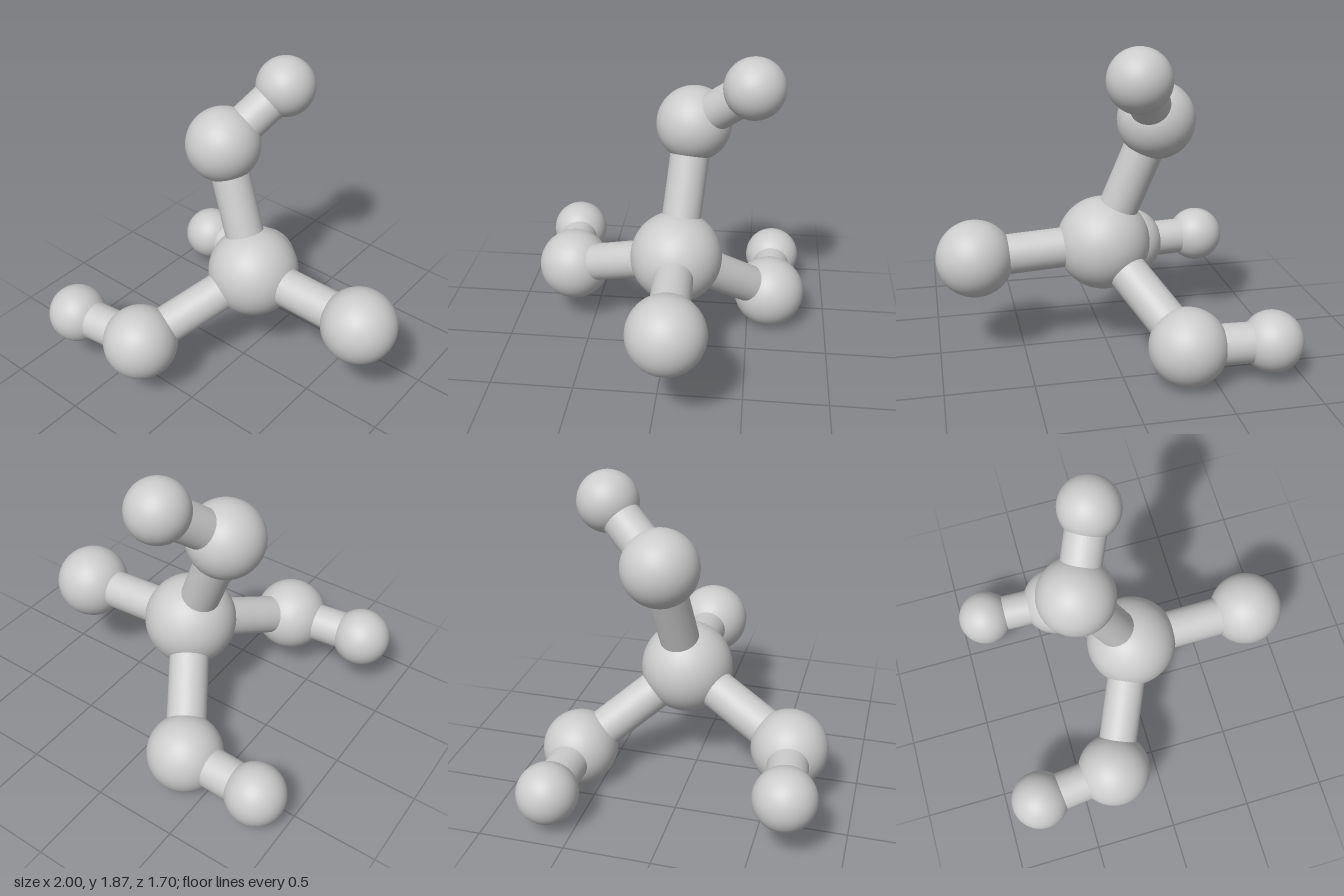
import * as THREE from 'three';

export function createModel() {
  const model = new THREE.Group();
  const material = new THREE.MeshStandardMaterial({ color: 0xcccccc });

  // Smooth ball at a given point
  function ball(name, position, radius) {
    const mesh = new THREE.Mesh(new THREE.SphereGeometry(radius, 48, 32), material);
    mesh.name = name;
    mesh.position.copy(position);
    model.add(mesh);
  }

  // Round rod running between two ball centres
  const up = new THREE.Vector3(0, 1, 0);
  function rod(name, from, to) {
    const dir = to.clone().sub(from);
    const mesh = new THREE.Mesh(new THREE.CylinderGeometry(0.116, 0.116, dir.length(), 40, 1, true), material);
    mesh.name = name;
    mesh.position.copy(from).add(to).multiplyScalar(0.5);
    mesh.quaternion.setFromUnitVectors(up, dir.normalize());
    model.add(mesh);
  }

  // Central ball
  const center = new THREE.Vector3(0.025, 0.658, -0.064);
  ball('centralBall', center, 0.273);

  // Four arms: a medium ball each, three of them with a small end ball
  const arms = [
    { name: 'left', mid: [0.777, 0.622, -0.083] },
    { name: 'top', mid: [-0.264, 1.398, -0.138], end: [-0.082, 1.691, -0.485] },
    { name: 'front', mid: [-0.285, 0.382, 0.62], end: [-0.766, 0.382, 0.674] },
    { name: 'back', mid: [-0.34, 0.222, -0.632], end: [-0.825, 0.218, -0.648] },
  ];
  for (const { name, mid, end } of arms) {
    const m = new THREE.Vector3(...mid);
    rod(name + 'InnerRod', center, m);
    ball(name + 'MiddleBall', m, 0.222);
    if (end) {
      const e = new THREE.Vector3(...end);
      rod(name + 'OuterRod', m, e);
      ball(name + 'EndBall', e, 0.176);
    }
  }
  return model;
}
